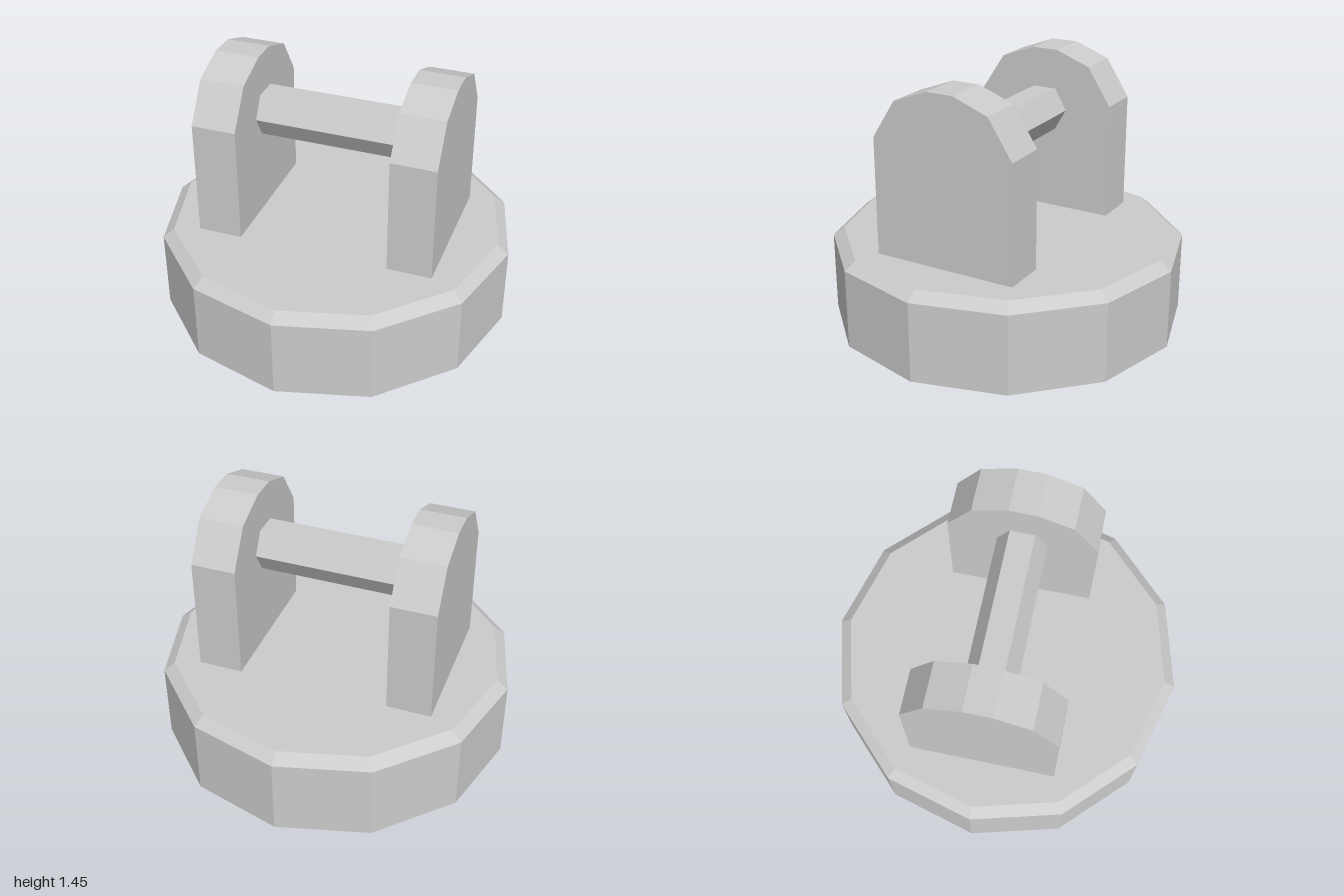
import * as THREE from 'three';

const material = new THREE.MeshStandardMaterial({
  color: 0xcccccc, flatShading: true, side: THREE.DoubleSide,
});

function addPart(group, name, geometry) {
  const mesh = new THREE.Mesh(geometry, material);
  mesh.name = name;
  group.add(mesh);
  return mesh;
}

export function createModel() {
  const model = new THREE.Group();
  model.name = 'capWithHandle';

  // Twelve-sided cap with a chamfered rim, hollow and open underneath
  const capProfile = [[1, 0], [1, 0.45], [0.937, 0.5], [0, 0.5]]
    .map(([r, y]) => new THREE.Vector2(r, y));
  addPart(model, 'cap', new THREE.LatheGeometry(capProfile, 12));

  // Two upright brackets with faceted round tops
  const half = [[0.415, 0.5], [0.415, 1.162], [0.277, 1.375], [0.077, 1.45]];
  const outline = [...half, ...half.map(([z, y]) => [-z, y]).reverse()]
    .map(([z, y]) => new THREE.Vector2(z, y));
  const bracket = new THREE.ExtrudeGeometry(new THREE.Shape(outline), {
    depth: 0.25, bevelEnabled: false,
  });
  bracket.translate(0, 0, -0.125).rotateY(Math.PI / 2);
  for (const side of [1, -1]) {
    const name = side > 0 ? 'leftBracket' : 'rightBracket';
    addPart(model, name, bracket).position.x = side * 0.55;
  }

  // Hexagonal grip bar between the brackets, flat side up
  const bar = new THREE.CylinderGeometry(0.14, 0.14, 0.85, 6, 1, true);
  bar.rotateZ(Math.PI / 2);
  addPart(model, 'gripBar', bar).position.y = 1.1;

  return model;
}
